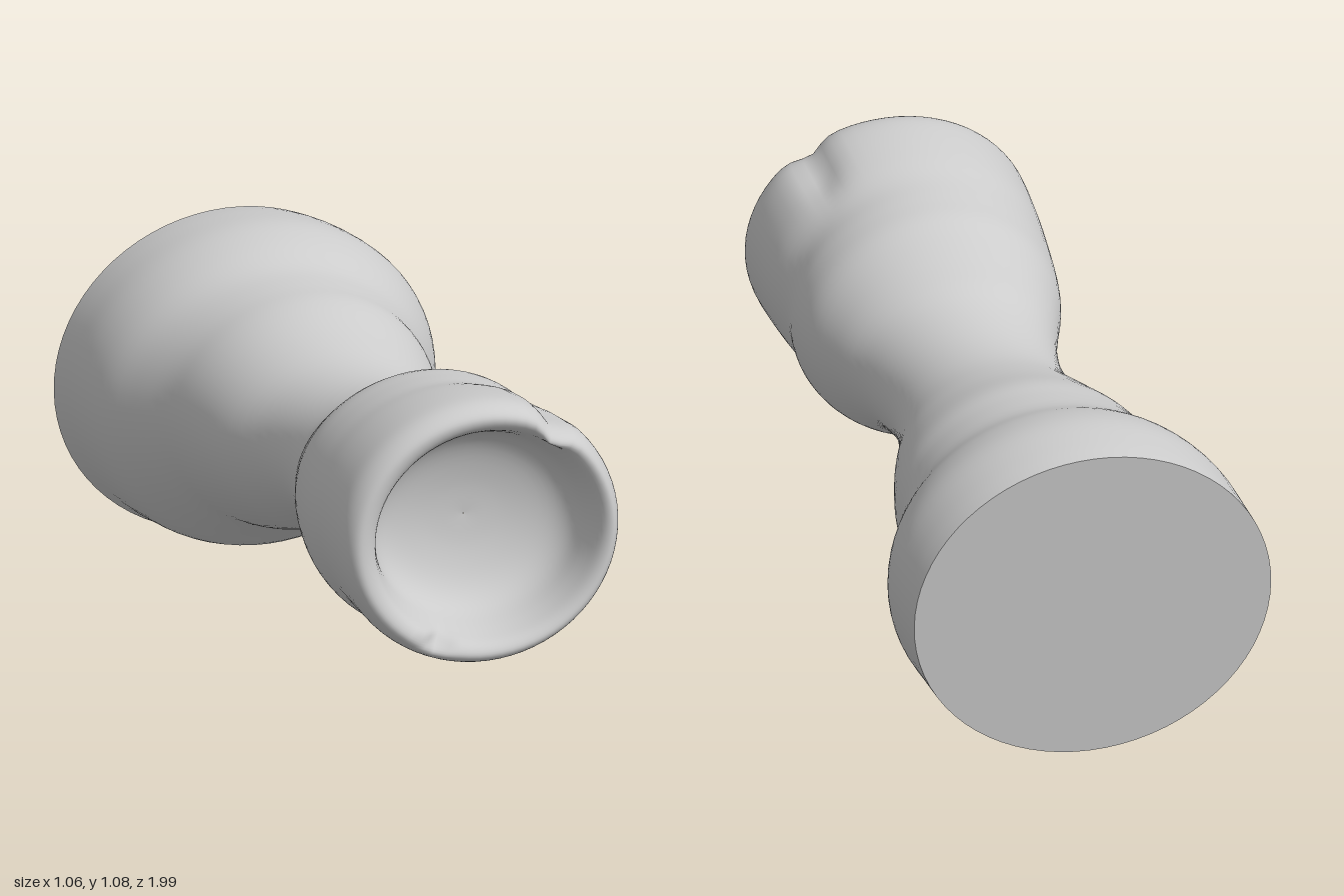
import * as THREE from 'three';

// Cross-sections along the stem: z, xMin, xMax, yMin, yMax
const SECTIONS = [
  [-0.975, -0.53, 0.505, 0.003, 0.953],
  [-0.9, -0.52, 0.52, 0.02, 0.967],
  [-0.8, -0.51, 0.53, 0.03, 0.975],
  [-0.7, -0.485, 0.505, 0.05, 0.955],
  [-0.6, -0.43, 0.45, 0.12, 0.918],
  [-0.5, -0.375, 0.415, 0.18, 0.905],
  [-0.4, -0.345, 0.405, 0.21, 0.895],
  [-0.25, -0.3, 0.365, 0.27, 0.85],
  [-0.1, -0.235, 0.31, 0.335, 0.82],
  [0.05, -0.213, 0.295, 0.38, 0.823],
  [0.2, -0.23, 0.33, 0.385, 0.86],
  [0.3, -0.26, 0.385, 0.365, 0.93],
  [0.4, -0.295, 0.44, 0.32, 0.995],
  [0.5, -0.315, 0.455, 0.295, 1.015],
  [0.6, -0.325, 0.447, 0.3, 1.03],
  [0.7, -0.33, 0.472, 0.322, 1.055],
  [0.82, -0.335, 0.485, 0.325, 1.075],
  [0.9, -0.335, 0.485, 0.328, 1.08],
  // rounded lip, then the hollow
  [0.945, -0.318, 0.47, 0.342, 1.065],
  [0.96, -0.29, 0.45, 0.365, 1.04],
  [0.94, -0.25, 0.425, 0.39, 1.008],
  [0.88, -0.225, 0.405, 0.408, 0.98],
  [0.8, -0.2, 0.385, 0.435, 0.945],
  [0.75, -0.14, 0.33, 0.49, 0.88],
  [0.72, -0.03, 0.22, 0.58, 0.78],
  [0.71, 0.094, 0.096, 0.679, 0.681],
];
const LIP = 19; // index of the lip crest
const SIDES = 72;
const STEPS = 4;

const bell = (d, width) => Math.exp(-((d / width) ** 2));
const { smoothstep, degToRad } = THREE.MathUtils;

function buildRings() {
  const spline = new THREE.CubicInterpolant(SECTIONS.map((_, i) => i), SECTIONS.flat(), 5);
  const rings = [];
  for (let k = 0; k <= (SECTIONS.length - 1) * STEPS; k++) {
    const t = k / STEPS;
    const [z, x0, x1, y0, y1] = [...spline.evaluate(t)];
    const cx = (x0 + x1) / 2, cy = (y0 + y1) / 2;
    const ring = [];
    for (let j = 0; j < SIDES; j++) {
      const a = (j / SIDES) * Math.PI * 2;
      // short groove on the outside near the lip
      const outer = 1 - smoothstep(t, LIP, LIP + 1.5);
      const r = 1 - 0.085 * bell(a - degToRad(54), 0.13) * smoothstep(z, 0.6, 0.8) * outer;
      const x = cx + ((x1 - x0) / 2) * r * Math.cos(a);
      const y = cy + ((y1 - y0) / 2) * r * Math.sin(a);
      // both ends lean slightly; the lip has a small nick
      const lean = -0.053 * (1 - smoothstep(z, -0.975, -0.7)) * (y - 0.478)
        - 0.1 * smoothstep(z, 0.4, 0.9) * (y - 0.7);
      const nick = 0.05 * bell(a - degToRad(244), 0.08) * bell(t - LIP - 0.7, 1.2);
      ring.push(new THREE.Vector3(x, y, z + lean - nick));
    }
    rings.push(ring);
  }
  return rings;
}

function makeGeometry(points, index) {
  const geometry = new THREE.BufferGeometry().setFromPoints(points);
  geometry.setIndex(index);
  geometry.computeVertexNormals();
  return geometry;
}

export function createModel() {
  const group = new THREE.Group();
  group.name = 'flaredCup';
  const material = new THREE.MeshStandardMaterial({ color: 0xcccccc });
  const rings = buildRings();

  // Waisted body running over the lip into the hollow
  const index = [];
  for (let i = 0; i < rings.length - 1; i++) {
    for (let j = 0; j < SIDES; j++) {
      const n = (j + 1) % SIDES;
      const a = i * SIDES + j, b = i * SIDES + n;
      index.push(a, b, b + SIDES, a, b + SIDES, a + SIDES);
    }
  }
  const body = new THREE.Mesh(makeGeometry(rings.flat(), index), material);
  body.name = 'body';

  // Flat base at the back
  const center = new THREE.Vector3();
  rings[0].forEach((p) => center.addScaledVector(p, 1 / SIDES));
  const capIndex = [];
  for (let j = 0; j < SIDES; j++) capIndex.push(SIDES, (j + 1) % SIDES, j);
  const base = new THREE.Mesh(makeGeometry([...rings[0], center], capIndex), material);
  base.name = 'base';

  group.add(body, base);
  return group;
}
